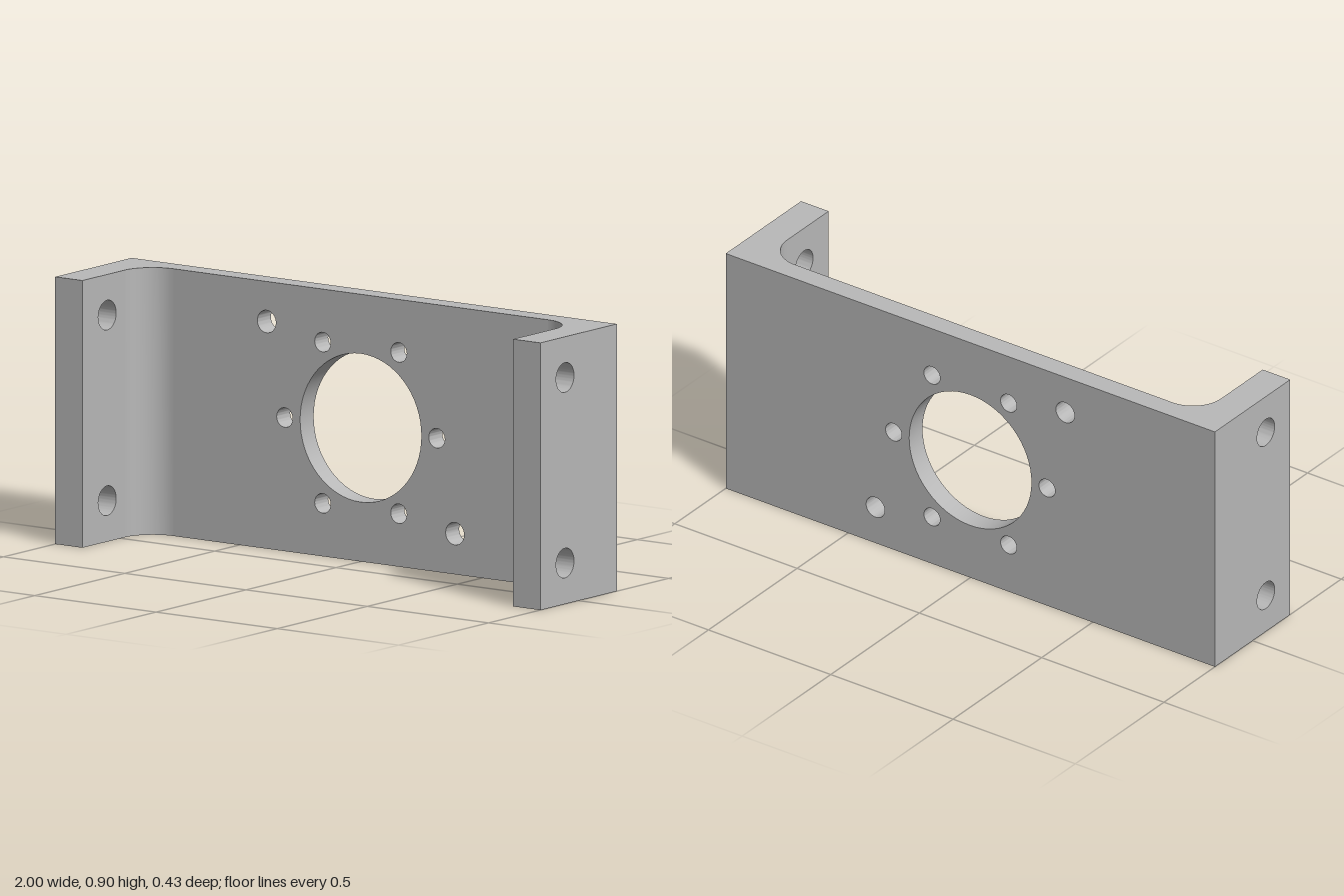
import * as THREE from 'three';
import { toCreasedNormals } from 'three/addons/utils/BufferGeometryUtils.js';

const H = 0.9;          // height
const D = 0.2125;       // half depth
const WEB = 0.075;      // web thickness
const FLANGE = 0.1125;  // side flange thickness
const R = 0.115;        // inner fillet radius
const INNER = 1 - FLANGE;
const CX = INNER - R;        // fillet centre x
const CZ = -D + WEB + R;     // fillet centre z

// Rectangle with round holes given as [x, y, radius]
function drilledPlate(x0, x1, holes, depth) {
  const shape = new THREE.Shape([
    new THREE.Vector2(x0, 0), new THREE.Vector2(x1, 0),
    new THREE.Vector2(x1, H), new THREE.Vector2(x0, H),
  ]);
  for (const [x, y, r] of holes) {
    shape.holes.push(new THREE.Path().absarc(x, y, r, 0, Math.PI * 2, true));
  }
  return new THREE.ExtrudeGeometry(shape, { depth, bevelEnabled: false, curveSegments: 32 });
}

export function createModel() {
  const group = new THREE.Group();
  group.name = 'mountingBracket';
  const metal = new THREE.MeshStandardMaterial({ color: 0xb8b8b8 });
  metal.name = 'grey metal';

  const add = (name, geometry) => {
    const mesh = new THREE.Mesh(toCreasedNormals(geometry, 0.6), metal);
    mesh.name = name;
    group.add(mesh);
  };

  // Web: central bore, ring of six bolt holes, two diagonal dowel holes
  const holes = [[0, H / 2, 0.25], [-0.388, 0.765, 0.038], [0.388, 0.137, 0.038]];
  for (let i = 0; i < 6; i++) {
    const a = i * Math.PI / 3;
    holes.push([0.3135 * Math.cos(a), H / 2 + 0.3135 * Math.sin(a), 0.033]);
  }
  add('web', drilledPlate(-CX, CX, holes, WEB).translate(0, 0, -D));

  for (const [side, s] of [['left', 1], ['right', -1]]) {
    // Side flange with two through holes
    const flange = drilledPlate(CZ, D, [[0.075, 0.138, 0.05], [0.075, 0.763, 0.05]], FLANGE);
    flange.rotateY(-Math.PI / 2).translate(s > 0 ? 1 : -INNER, 0, 0);
    add(side + 'Flange', flange);

    // Square outer corner with a filleted inside
    const pts = [
      new THREE.Vector2(s, -CZ), new THREE.Vector2(s, D), new THREE.Vector2(s * CX, D),
    ];
    for (let i = 0; i <= 16; i++) {
      const a = (1 - i / 16) * Math.PI / 2;
      pts.push(new THREE.Vector2(s * (CX + R * Math.cos(a)), -CZ + R * Math.sin(a)));
    }
    const corner = new THREE.ExtrudeGeometry(new THREE.Shape(pts), { depth: H, bevelEnabled: false });
    add(side + 'Corner', corner.rotateX(-Math.PI / 2));
  }
  return group;
}
